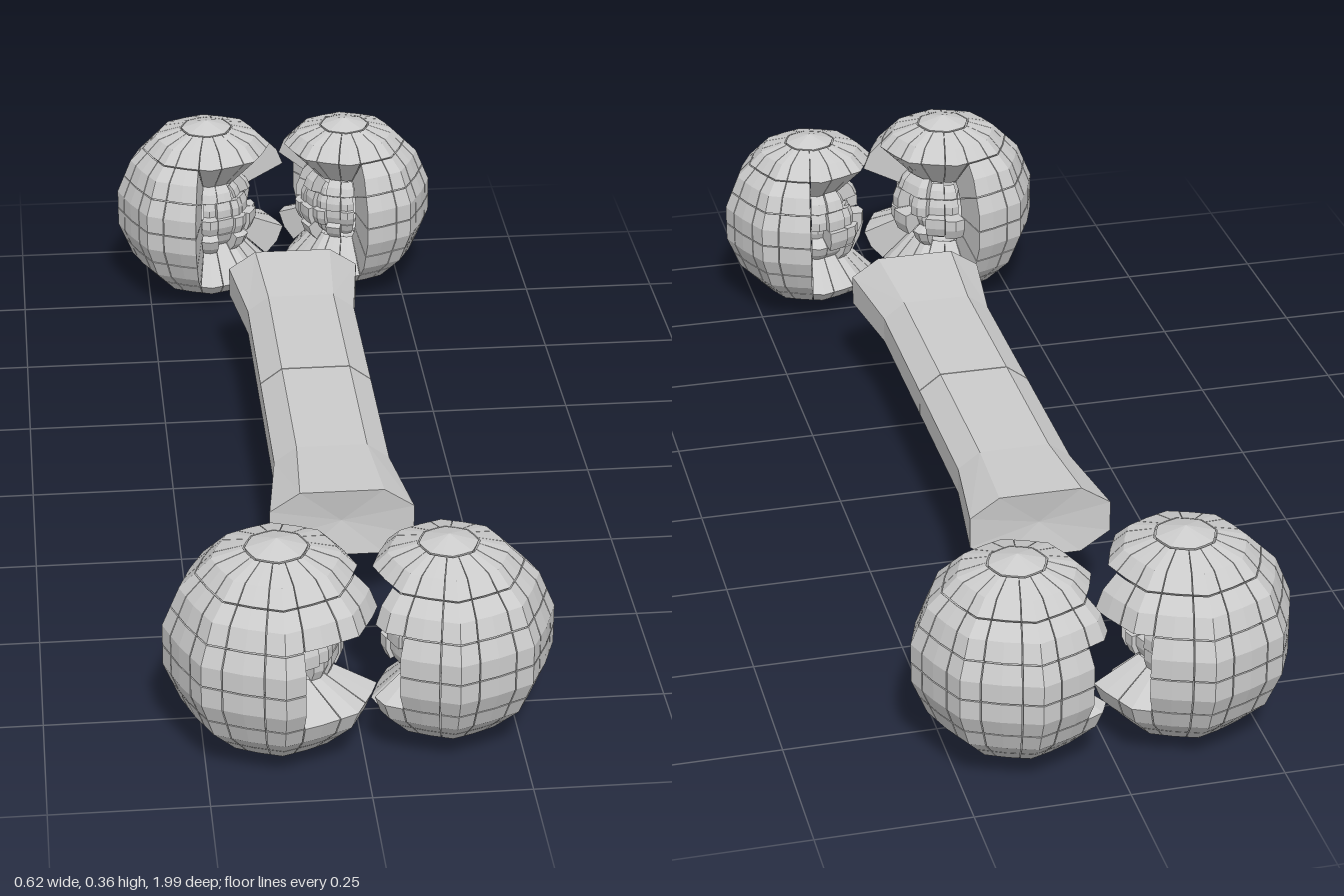
import * as THREE from 'three';

const material = new THREE.MeshStandardMaterial({ color: 0xcccccc, flatShading: true });
const SIDES = 16;
const POLAR = [0, 33.75, 56.25, 78.75, 101.25, 123.75, 146.25, 180].map(THREE.MathUtils.degToRad);

// repeatable jitter in 0..1
const jitter = (i, j, k) => {
  const s = Math.sin(i * 12.99 + j * 78.23 + k * 37.72) * 43758.55;
  return s - Math.floor(s);
};

// corner of the faceted unit ball; odd meridians are pulled in, so the plan is nearly an octagon
function corner(i, j) {
  const k = ((i % SIDES) + SIDES) % SIDES;
  const phi = (k / SIDES) * Math.PI * 2;
  const r = Math.sin(POLAR[j]) * (k % 2 ? 0.945 : 1);
  return new THREE.Vector3(r * Math.sin(phi), Math.cos(POLAR[j]), r * Math.cos(phi));
}

// point on the facets between corners
function surfacePoint(u, v) {
  const i = Math.floor(u), j = Math.min(Math.floor(v), POLAR.length - 2);
  const top = corner(i, j).lerp(corner(i + 1, j), u - i);
  const low = corner(i, j + 1).lerp(corner(i + 1, j + 1), u - i);
  return top.lerp(low, v - j);
}

function meshFrom(points, name) {
  const geometry = new THREE.BufferGeometry().setFromPoints(points);
  geometry.computeVertexNormals();
  const mesh = new THREE.Mesh(geometry, material);
  mesh.name = name;
  return mesh;
}

function tri(out, a, b, c) {
  const area = b.clone().sub(a).cross(c.clone().sub(a)).length();
  if (area > 1e-8) out.push(a, b, c);
}

function quad(out, a, b, c, d) {
  tri(out, a, b, c);
  tri(out, a, c, d);
}

// one radial block of the ball, from scale 'inner' out to scale 'outer'
function block(out, us, vs, outer, inner) {
  const grid = (s) => us.map((u) => vs.map((v) => surfacePoint(u, v).multiplyScalar(s)));
  const O = grid(outer), I = grid(inner);
  const m = us.length - 1, n = vs.length - 1;
  const wall = (a, b, c, d) => quad(out, O[a][b], I[a][b], I[c][d], O[c][d]);
  for (let i = 0; i < m; i++) {
    for (let j = 0; j < n; j++) {
      quad(out, O[i][j], O[i][j + 1], O[i + 1][j + 1], O[i + 1][j]);
      quad(out, I[i][j], I[i + 1][j], I[i + 1][j + 1], I[i][j + 1]);
    }
    wall(i, n, i + 1, n);
    wall(i + 1, 0, i, 0);
  }
  for (let j = 0; j < n; j++) {
    wall(0, j, 0, j + 1);
    wall(m, j + 1, m, j);
  }
}

// cracked ball with a broken hollow towards its neighbour and the shaft;
// 'middle' and 'rim' are the broken angles of the equator rows and the rows next to them
function knob({ name, x, z, r, middle, rim }, id) {
  const out = [];
  const g = 0.485;
  const ring = Array.from({ length: SIDES + 1 }, (_, i) => i);
  const rows = [null, null, rim, middle, middle, rim, null];
  block(out, ring, [0, g], 1, 0.5);
  block(out, ring, [7 - g, 7], 1, 0.5);
  for (let j = 1; j <= 6; j++) {
    for (let i = 0; i < SIDES; i++) {
      const p = corner(i, j);
      const angle = THREE.MathUtils.radToDeg(Math.atan2(-p.x * Math.sign(x), p.z * Math.sign(z)));
      const azimuth = (angle + 360) % 360;
      const broken = rows[j] && azimuth > rows[j][0] && azimuth < rows[j][1];
      const outer = broken ? 0.38 + 0.25 * jitter(i, j, id) : 1;
      block(out, [i - g, i, i + g], [j - g, j, j + g], outer, broken ? 0.25 : 0.5);
    }
  }
  const mesh = meshFrom(out, name);
  mesh.scale.setScalar(r);
  mesh.position.set(x, 0.186, z);
  return mesh;
}

// half of the shaft: eight-sided sections, flared at the end
function shaftHalf(name, side) {
  const section = [[0.06, 1], [1, 0.45], [1, -0.45], [0.06, -1], [-0.06, -1], [-1, -0.45], [-1, 0.45], [-0.06, 1]];
  const stations = [[0.001, 0.098, 0.051, 0.06], [0.29, 0.098, 0.051, 0.06], [0.465, 0.12, 0.06, 0.07]];
  const loops = stations.map(([z, w, h, flat]) => section.map(([sx, sy]) =>
    new THREE.Vector3(Math.abs(sx) < 1 ? Math.sign(sx) * flat : sx * w, sy * h, z * side)));
  const out = [];
  const face = (a, b, c) => (side > 0 ? tri(out, a, b, c) : tri(out, a, c, b));
  const start = new THREE.Vector3(0, 0, 0.001 * side);
  const end = new THREE.Vector3(0, 0, 0.455 * side);
  for (let i = 0; i < 8; i++) {
    const k = (i + 1) % 8;
    for (let s = 0; s < 2; s++) {
      const [A, B] = [loops[s], loops[s + 1]];
      face(A[i], B[i], B[k]);
      face(A[i], B[k], A[k]);
    }
    face(start, loops[0][i], loops[0][k]);
    face(end, loops[2][k], loops[2][i]);
  }
  const mesh = meshFrom(out, name);
  mesh.position.set(0.006, 0.185, 0);
  return mesh;
}

export function createModel() {
  const model = new THREE.Group();
  model.name = 'brokenBone';

  // two halves of the shaft
  model.add(shaftHalf('frontShaft', 1), shaftHalf('backShaft', -1));

  // four end knobs, lying apart from the shaft
  const knobs = [
    { name: 'frontRightKnob', x: -0.132, z: 0.818, r: 0.182, middle: [20, 190], rim: [75, 185] },
    { name: 'frontLeftKnob', x: 0.136, z: 0.812, r: 0.172, middle: [40, 190], rim: [60, 185] },
    { name: 'backRightKnob', x: -0.132, z: -0.82, r: 0.18, middle: [40, 190], rim: [75, 185] },
    { name: 'backLeftKnob', x: 0.14, z: -0.828, r: 0.172, middle: [40, 190], rim: [60, 185] },
  ];
  knobs.forEach((k, i) => model.add(knob(k, i + 1)));
  return model;
}
